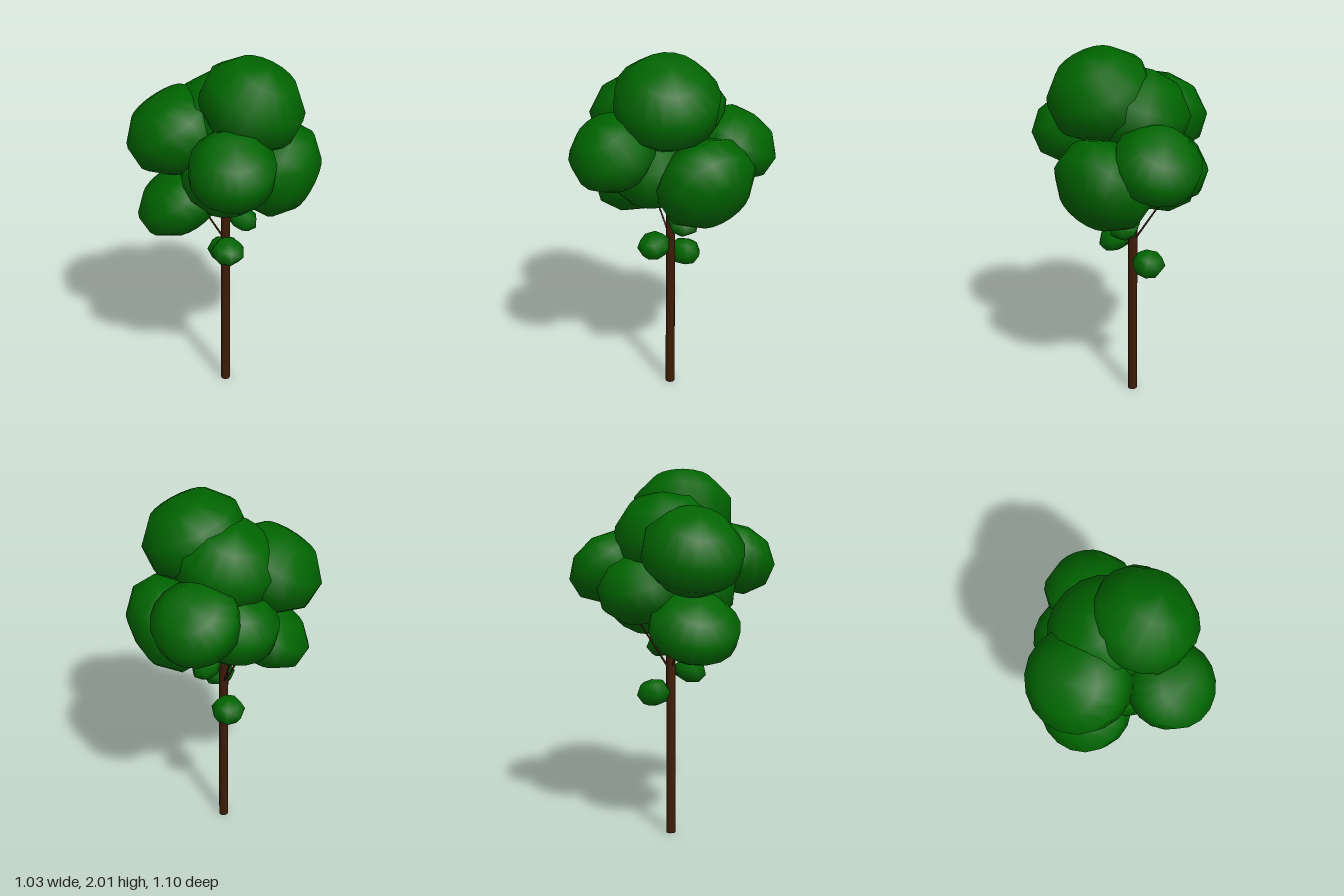
import * as THREE from 'three';

const UP = new THREE.Vector3(0, 1, 0);
const leafMaterial = new THREE.MeshStandardMaterial({ color: 0x006400 });
const barkMaterial = new THREE.MeshStandardMaterial({ color: 0x3d1c06 });

// Flattened sphere whose short axis points along "axis"
function makeClump(name, center, axis, radius, half, segments = 18, rings = 5) {
  const mesh = new THREE.Mesh(new THREE.SphereGeometry(1, segments, rings), leafMaterial);
  mesh.name = name;
  mesh.position.set(...center);
  mesh.scale.set(radius * 1.04, half, radius * 1.04);
  mesh.quaternion.setFromUnitVectors(UP, new THREE.Vector3(...axis).normalize());
  return mesh;
}

// Tapered stick between two points
function makeStick(name, from, to, r0, r1, sides = 6) {
  const a = new THREE.Vector3(...from);
  const b = new THREE.Vector3(...to);
  const dir = b.clone().sub(a);
  const mesh = new THREE.Mesh(new THREE.CylinderGeometry(r1, r0, dir.length(), sides), barkMaterial);
  mesh.name = name;
  mesh.position.copy(a).lerp(b, 0.5);
  mesh.quaternion.setFromUnitVectors(UP, dir.normalize());
  return mesh;
}

export function createModel() {
  const tree = new THREE.Group();
  tree.name = 'tree';
  const tx = 0.008, tz = -0.045;

  // Trunk
  tree.add(makeStick('trunk', [tx, 0, tz], [tx, 1.45, tz], 0.026, 0.025, 12));

  // Main foliage: name, centre, short axis, radius, half thickness, branch start height, branch end
  const clumps = [
    ['crownFoliage', [0.14, 1.765, 0.07], [0.4, 0.9, 0.15], 0.27, 0.232, 1.4, [0.14, 1.75, 0.07]],
    ['backRightFoliage', [0.193, 1.485, -0.33], [0.25, 0.8, -0.45], 0.225, 0.18, 1.2, [0.19, 1.48, -0.33]],
    ['rightFoliage', [0.295, 1.345, -0.07], [0.86, -0.48, 0], 0.262, 0.207, 1.15, [0.25, 1.35, -0.07]],
    ['upperLeftFoliage', [-0.25, 1.595, -0.015], [-0.5, 0.85, 0], 0.265, 0.217, 1.2, [-0.25, 1.6, -0.02]],
    ['lowerLeftFoliage', [-0.235, 1.2, 0], [-0.5, 0.8, 0], 0.24, 0.168, 0.92, [-0.18, 1.24, -0.02]],
    ['frontFoliage', [0.04, 1.52, 0.335], [0.05, 0.85, 0.45], 0.22, 0.19, 1.15, [0.04, 1.52, 0.33]],
    ['lowerCentreFoliage', [0.01, 1.375, 0.07], [0, 1, 0.1], 0.24, 0.215, 1.1, [0.01, 1.4, 0.07]],
    ['upperBackFoliage', [0, 1.67, -0.075], [-0.2, 0.9, -0.25], 0.268, 0.228, 1.35, [0, 1.65, -0.08]],
    ['backFoliage', [-0.02, 1.39, -0.225], [-0.12, 0.9, -0.25], 0.226, 0.19, 0.92, [-0.01, 1.27, -0.27]],
  ];
  for (const [name, center, axis, radius, half, start, end] of clumps) {
    tree.add(makeClump(name, center, axis, radius, half));
    tree.add(makeStick(name + 'Branch', [tx, start, tz], end, 0.006, 0.004));
  }

  // Small tufts sprouting from the trunk
  const tufts = [
    ['frontTuft', [0.02, 0.915, 0.072], [0.05, 0.9, 0.3], 0.09, 0.068],
    ['backTuft', [0, 0.812, -0.145], [0, 0.95, -0.15], 0.09, 0.075],
    ['rightTuft', [0.105, 1.05, -0.06], [0.45, 0.85, 0], 0.085, 0.062],
  ];
  for (const [name, center, axis, radius, half] of tufts) {
    tree.add(makeClump(name, center, axis, radius, half, 7, 4));
    tree.add(makeStick(name + 'Twig', [tx, center[1] - 0.02, tz], center, 0.004, 0.003));
  }

  return tree;
}
